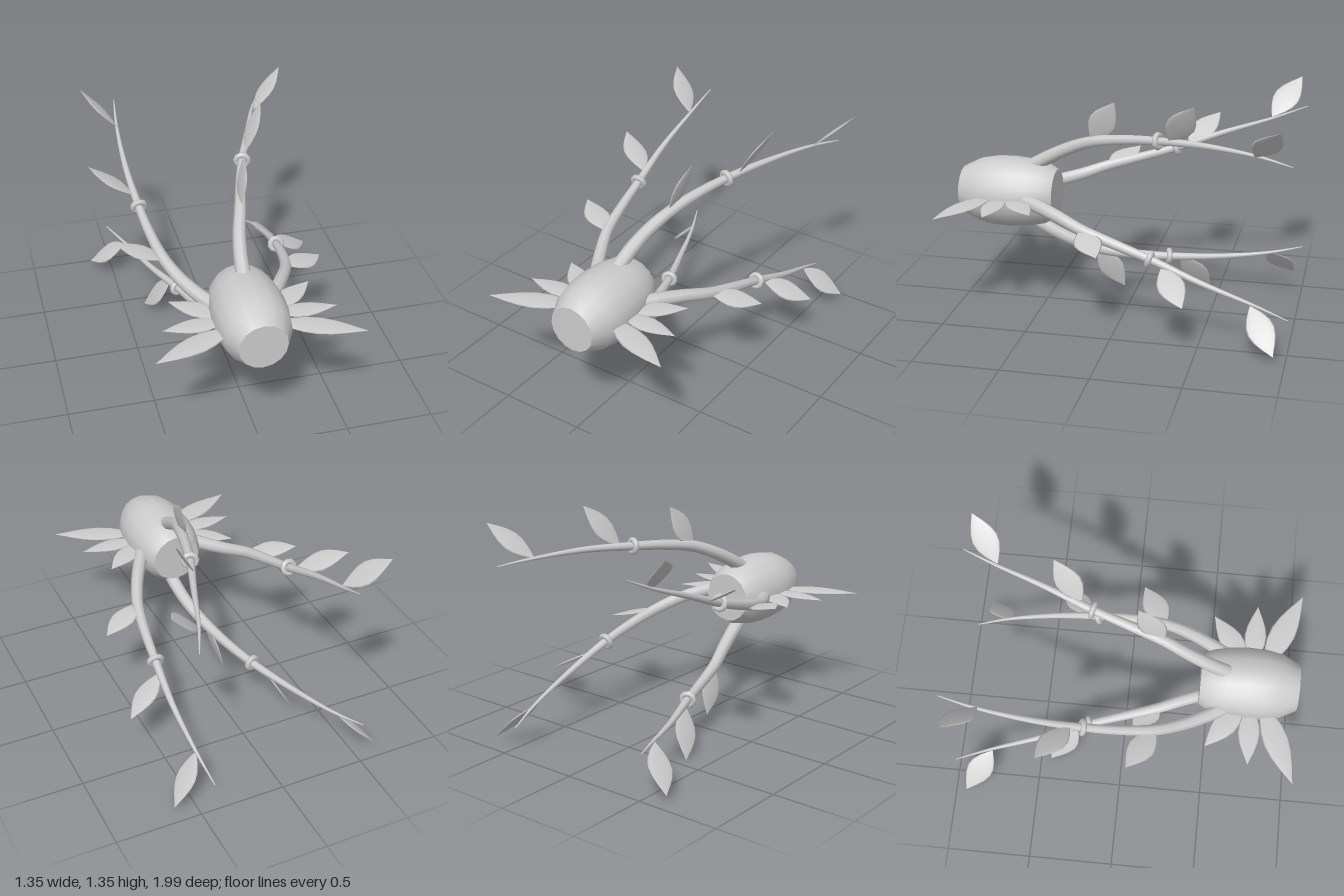
import * as THREE from 'three';

const MID = 0.68; // height of the body's axis

// Flattened spindle running from a to b; its broad side lies in the plane holding z
function leaf(name, a, b, halfWidth, mat) {
  const from = new THREE.Vector3(...a), to = new THREE.Vector3(...b);
  const axis = to.clone().sub(from), len = axis.length();
  axis.normalize();
  const profile = [[0, 0.004], [0.08, 0.27], [0.2, 0.62], [0.35, 0.92], [0.5, 1],
    [0.65, 0.84], [0.8, 0.52], [0.92, 0.2], [1, 0]]
    .map(([t, w]) => new THREE.Vector2(w * halfWidth, t * len));
  const geo = new THREE.LatheGeometry(profile, 12);
  geo.scale(1, 1, 0.008 / halfWidth);
  const flat = new THREE.Vector3(0, 0, 1).cross(axis).normalize();
  const wide = axis.clone().cross(flat);
  geo.applyMatrix4(new THREE.Matrix4().makeBasis(wide, axis, flat).setPosition(from));
  const mesh = new THREE.Mesh(geo, mat);
  mesh.name = name;
  return mesh;
}

// Tube whose rings shrink along the path
function taperedTube(curve, segs, sides, radiusAt) {
  const geo = new THREE.TubeGeometry(curve, segs, 1, sides, false);
  const pos = geo.attributes.position, v = new THREE.Vector3();
  for (let i = 0; i <= segs; i++) {
    const c = curve.getPointAt(i / segs), r = radiusAt(i / segs);
    for (let j = 0; j <= sides; j++) {
      const k = i * (sides + 1) + j;
      v.fromBufferAttribute(pos, k).sub(c).multiplyScalar(r).add(c);
      pos.setXYZ(k, v.x, v.y, v.z);
    }
  }
  return geo;
}

// One trailing stem with a knot and three leaves, growing from the top of the body
function makeStem(mat) {
  const stem = new THREE.Group();
  const curve = new THREE.CatmullRomCurve3([
    [0, 0.165, 0.58], [0.01, 0.225, 0.48], [0.035, 0.295, 0.35], [0.08, 0.358, 0.2],
    [0.135, 0.398, 0], [0.2, 0.422, -0.21], [0.31, 0.442, -0.5],
    [0.42, 0.435, -0.8], [0.505, 0.415, -0.99],
  ].map(p => new THREE.Vector3(...p)));
  const vine = new THREE.Mesh(
    taperedTube(curve, 32, 8, u => 0.003 + 0.04 * Math.pow(1 - u, 0.85)), mat);
  vine.name = 'vine';
  stem.add(vine);

  const knot = new THREE.Mesh(new THREE.TorusGeometry(0.036, 0.017, 8, 10), mat);
  knot.name = 'knot';
  knot.position.set(0.2, 0.422, -0.21);
  knot.quaternion.setFromUnitVectors(
    new THREE.Vector3(0, 0, 1), new THREE.Vector3(0.3, 0.08, -0.95).normalize());
  stem.add(knot);

  [[[0.08, 0.358, 0.2], [0.14, 0.615, 0.05]],
    [[0.235, 0.43, -0.28], [0.37, 0.675, -0.44]],
    [[0.425, 0.433, -0.78], [0.63, 0.632, -0.935]],
  ].forEach(([a, b]) => stem.add(leaf('stemLeaf', a, b, 0.08, mat)));
  return stem;
}

export function createModel() {
  const mat = new THREE.MeshStandardMaterial({ color: 0xcccccc });
  mat.name = 'plain grey';
  const model = new THREE.Group();
  model.name = 'plant';

  // Barrel body along z, with flat ends
  const body = new THREE.Group();
  body.name = 'body';
  body.position.y = MID;
  const profile = [[0.146, 0.43], [0.18, 0.49], [0.2, 0.58], [0.21, 0.7],
    [0.207, 0.8], [0.188, 0.9], [0.136, 1]].map(p => new THREE.Vector2(...p));
  const shell = new THREE.Mesh(new THREE.LatheGeometry(profile, 16), mat);
  shell.name = 'barrel';
  shell.rotation.x = Math.PI / 2;
  body.add(shell);
  for (const [r, z, turn] of [[0.136, 1, 0], [0.146, 0.43, Math.PI]]) {
    const cap = new THREE.Mesh(new THREE.CircleGeometry(r, 16), mat);
    cap.name = 'endCap';
    cap.position.z = z;
    cap.rotation.y = turn;
    body.add(cap);
  }
  model.add(body);

  // Four stems in quarter turns around the body
  for (let i = 0; i < 4; i++) {
    const stem = makeStem(mat);
    stem.name = 'stem';
    stem.position.y = MID;
    stem.rotation.z = i * Math.PI / 2;
    model.add(stem);
  }

  // Three side leaves on each side of the body
  for (const s of [1, -1]) {
    model.add(
      leaf('frontSideLeaf', [s * 0.1, MID, 0.79], [s * 0.58, MID, 1], 0.075, mat),
      leaf('middleSideLeaf', [s * 0.12, MID, 0.73], [s * 0.49, MID, 0.738], 0.065, mat),
      leaf('rearSideLeaf', [s * 0.12, MID, 0.7], [s * 0.405, MID, 0.485], 0.07, mat));
  }
  return model;
}
